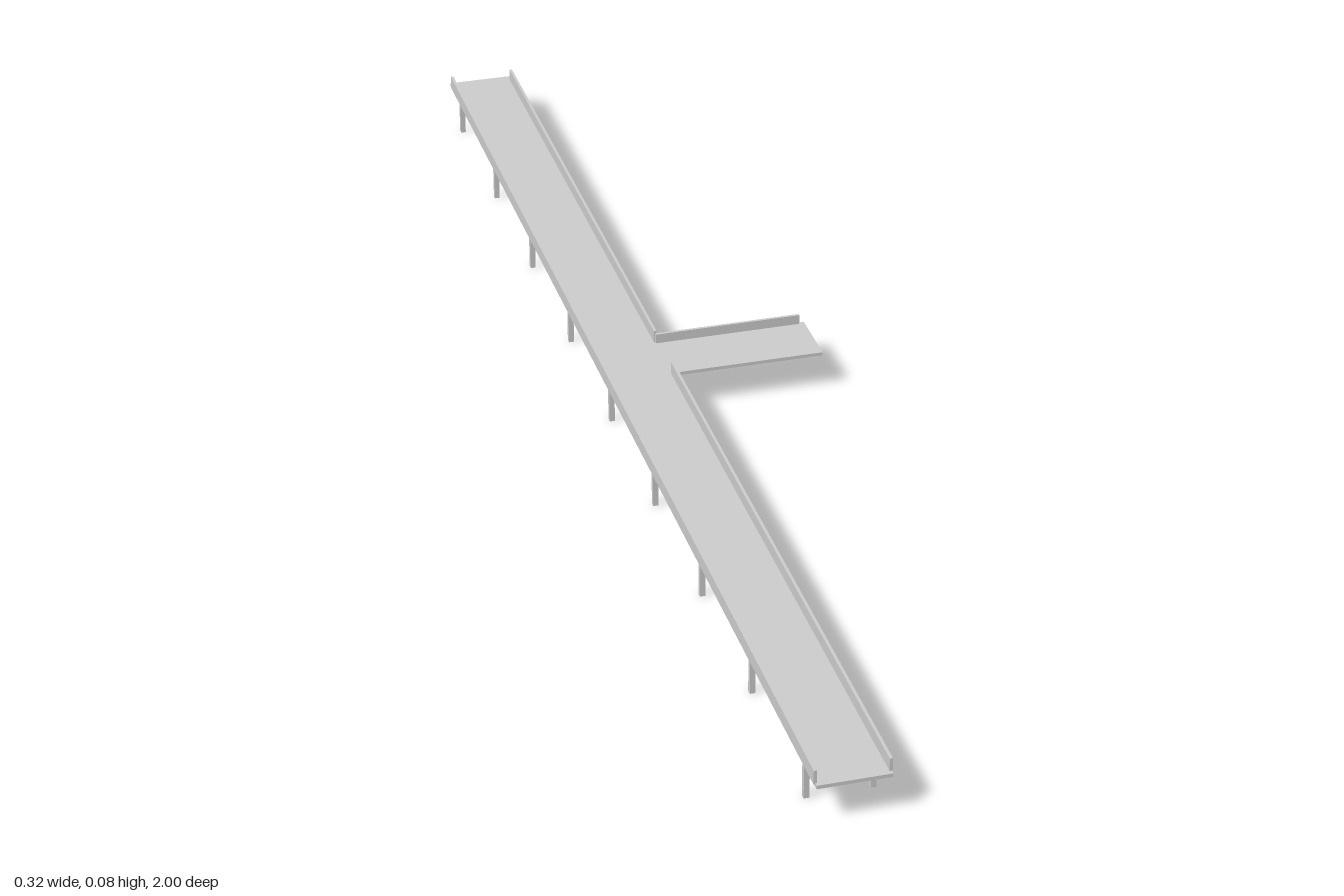
import * as THREE from 'three';

const material = new THREE.MeshStandardMaterial({ color: 0xcccccc, flatShading: true });

// Box given by its limits along each axis
function slab(name, [x0, x1], [y0, y1], [z0, z1]) {
  const mesh = new THREE.Mesh(new THREE.BoxGeometry(x1 - x0, y1 - y0, z1 - z0), material);
  mesh.name = name;
  mesh.position.set((x0 + x1) / 2, (y0 + y1) / 2, (z0 + z1) / 2);
  return mesh;
}

export function createModel() {
  const group = new THREE.Group();
  group.name = 'elevatedWalkway';

  const deckY = [0.052, 0.057];
  const railY = [0.057, 0.075];
  const branchZ = [-0.1, -0.008];

  // Long main deck and the short side branch
  group.add(slab('mainDeck', [-0.157, -0.061], deckY, [-1, 1]));
  group.add(slab('branchDeck', [-0.061, 0.157], deckY, branchZ));

  // Side walls, the left one open where the branch joins
  group.add(slab('rightWall', [-0.159, -0.155], [0.055, 0.075], [-0.986, 0.994]));
  group.add(slab('leftWallBack', [-0.064, -0.06], railY, [-0.986, branchZ[0]]));
  group.add(slab('leftWallFront', [-0.064, -0.06], railY, [branchZ[1], 0.994]));

  // Single lower wall along the back of the branch
  group.add(slab('branchWall', [-0.062, 0.149], [0.057, 0.071], [-0.1, -0.096]));

  // Nine pairs of support posts
  const posts = new THREE.Group();
  posts.name = 'supportPosts';
  for (let i = -4; i <= 4; i++) {
    const z = i * 0.235;
    for (const x of [-0.152, -0.067]) {
      posts.add(slab('post', [x - 0.0037, x + 0.0037], [0, 0.052], [z - 0.0037, z + 0.0037]));
    }
  }
  group.add(posts);
  return group;
}
